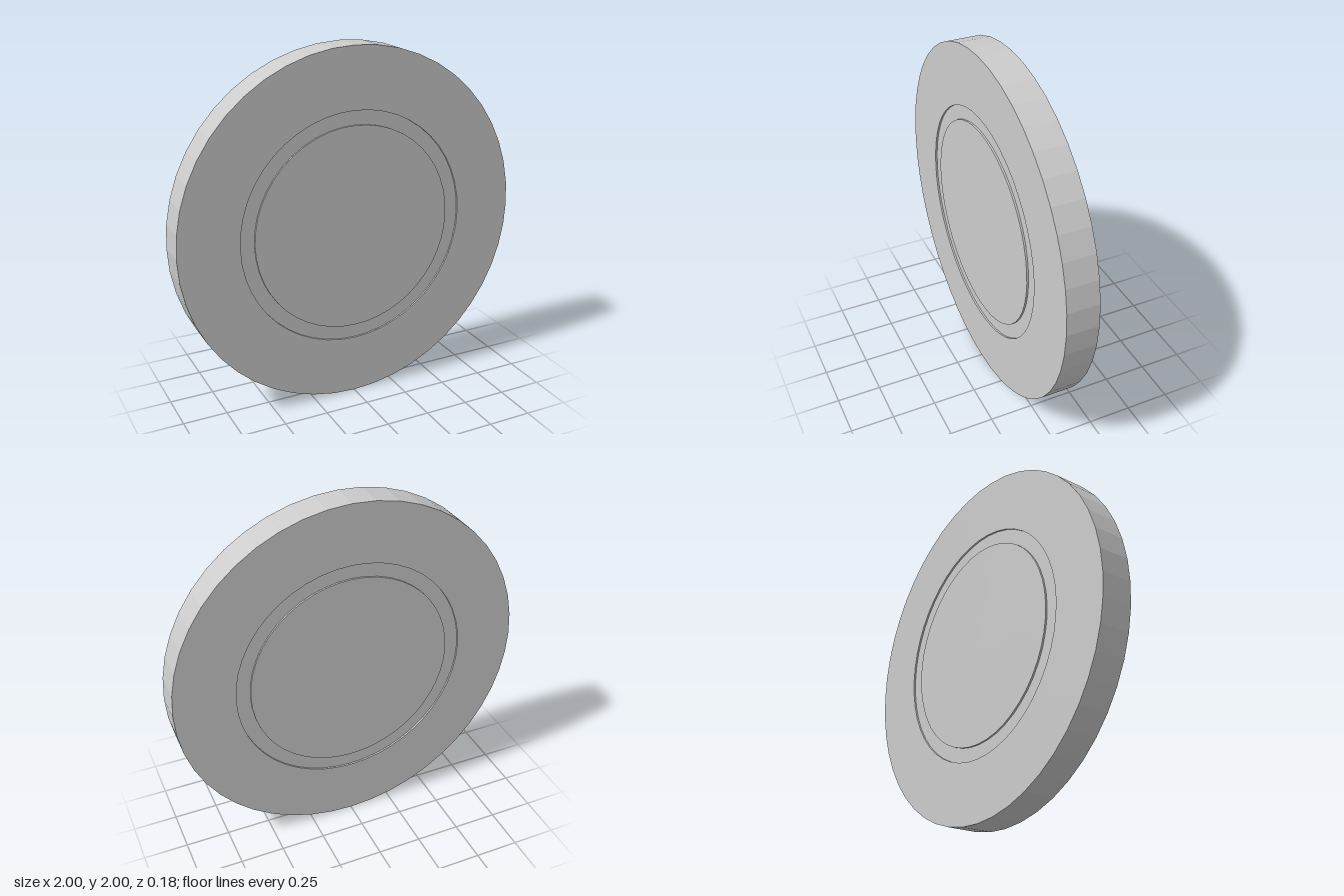
import * as THREE from 'three';

const SIDES = 48;
const HALF = 0.09; // half the thickness
const FLOOR = HALF - 0.01; // height of the groove floor

export function createModel() {
  const group = new THREE.Group();
  group.name = 'groovedDisc';

  // Half profile of one face, from the rim to the centre, with a shallow ring groove
  const face = [[1, HALF], [0.66, HALF], [0.66, FLOOR], [0.58, FLOOR], [0.58, HALF], [0, HALF]];
  const back = face.map(([r, h]) => [r, -h]).reverse();
  const profile = [...back, ...face].map(([r, h]) => new THREE.Vector2(r, h));

  // Faceted disc, turned upright so its faces look along z
  const geometry = new THREE.LatheGeometry(profile, SIDES).toNonIndexed();
  geometry.computeVertexNormals();
  geometry.rotateX(Math.PI / 2);

  const disc = new THREE.Mesh(
    geometry,
    new THREE.MeshStandardMaterial({ color: 0xcccccc, flatShading: true })
  );
  disc.name = 'disc';
  disc.position.y = 1;
  group.add(disc);
  return group;
}
